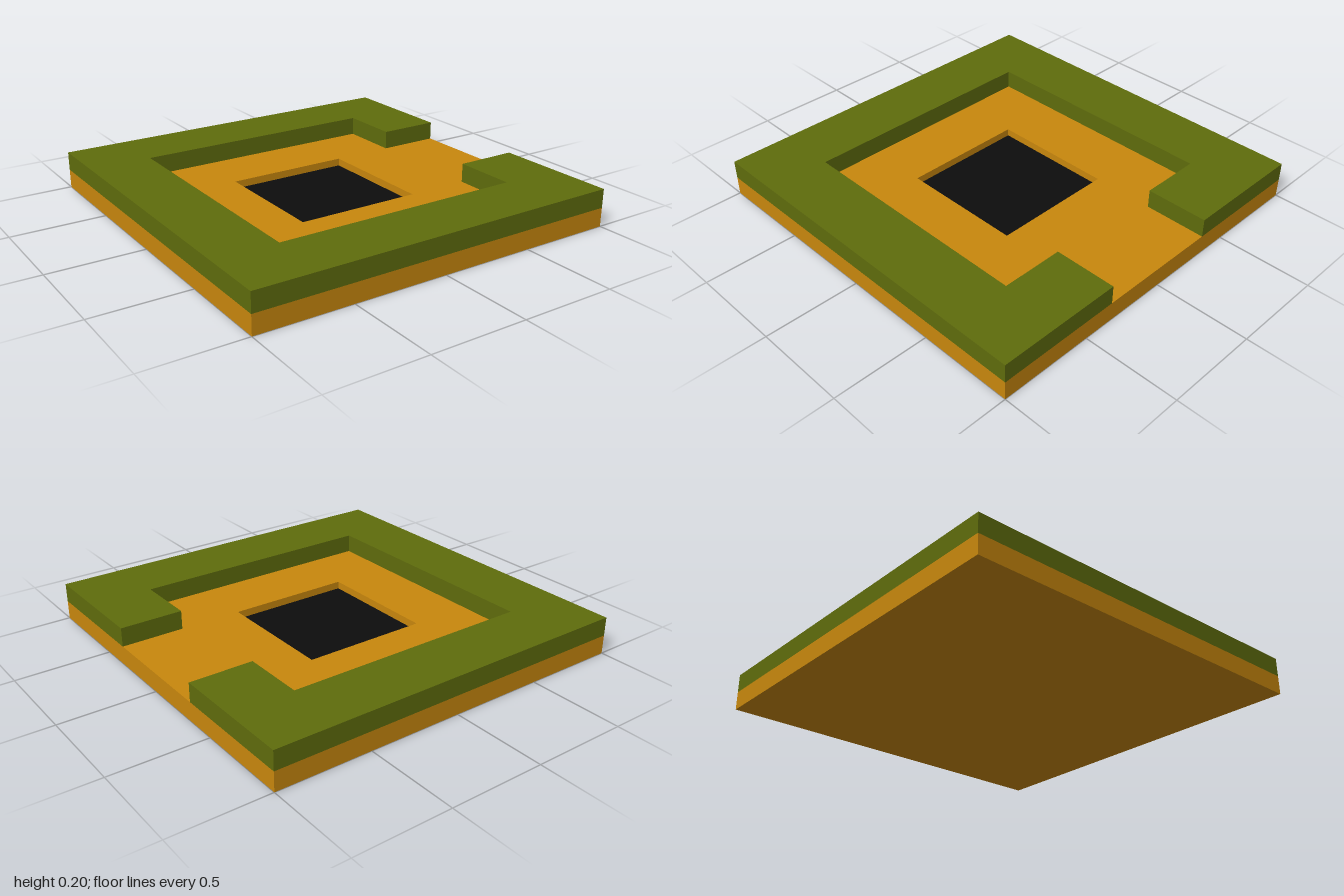
import * as THREE from 'three';

const HALF = 1, INNER = 2 / 3, PIT = 1 / 3;
const LAYER = 0.1, PIT_FLOOR = 0.06, SKIN = 0.005;

const square = (r) => [[-r, -r], [r, -r], [r, r], [-r, r]].map(([x, y]) => new THREE.Vector2(x, y));

// Extrude a plan outline upwards from y = 0
function slab(shape, height) {
  const geometry = new THREE.ExtrudeGeometry(shape, { depth: height, bevelEnabled: false });
  return geometry.rotateX(-Math.PI / 2);
}

export function createModel() {
  const orange = new THREE.MeshStandardMaterial({ name: 'ochre orange', color: 0xc8870d });
  const green = new THREE.MeshStandardMaterial({ name: 'olive green', color: 0x5f6c0c });
  const black = new THREE.MeshStandardMaterial({ name: 'black', color: 0x0d0d0d });

  const model = new THREE.Group();
  model.name = 'squareTray';
  const add = (name, geometry, material, y) => {
    const mesh = new THREE.Mesh(geometry, material);
    mesh.name = name;
    mesh.position.y = y;
    model.add(mesh);
  };

  // Lower plate with a square pit in the middle
  const plate = new THREE.Shape(square(HALF));
  plate.holes.push(new THREE.Path(square(PIT)));
  add('basePlate', slab(plate, LAYER), orange, 0);
  const bottom = PIT_FLOOR - SKIN;
  add('pitBottom', new THREE.BoxGeometry(2 * PIT, bottom, 2 * PIT), orange, bottom / 2);
  add('pitFloor', new THREE.BoxGeometry(2 * PIT, SKIN, 2 * PIT), black, PIT_FLOOR - SKIN / 2);

  // Raised rim, open in the middle of the +x side
  const rim = new THREE.Shape([
    [HALF, PIT], [HALF, HALF], [-HALF, HALF], [-HALF, -HALF], [HALF, -HALF], [HALF, -PIT],
    [INNER, -PIT], [INNER, -INNER], [-INNER, -INNER], [-INNER, INNER], [INNER, INNER], [INNER, PIT],
  ].map(([x, y]) => new THREE.Vector2(x, y)));
  add('raisedRim', slab(rim, LAYER), green, LAYER);

  return model;
}
